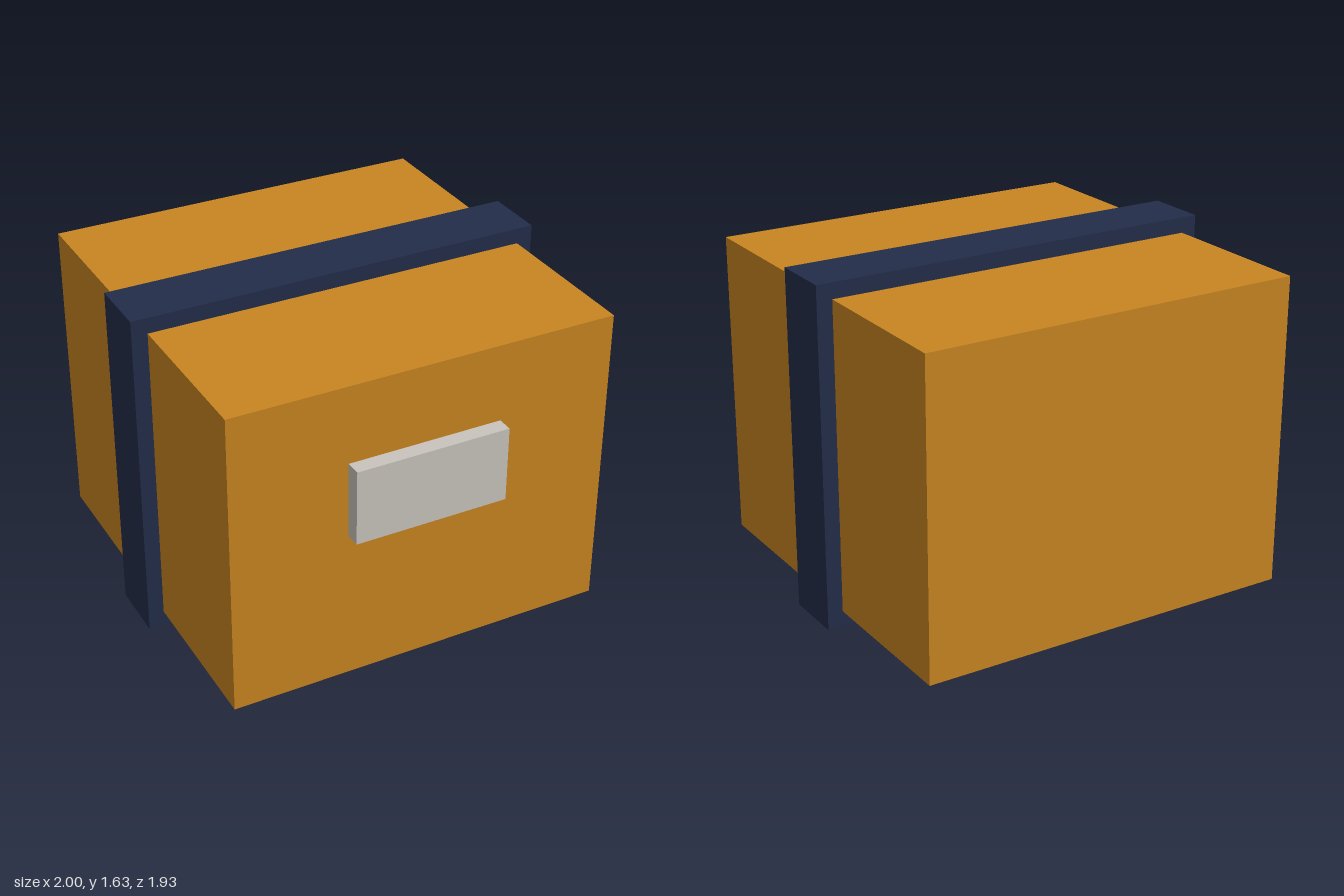
import * as THREE from 'three';

const material = (name, color) => {
  const m = new THREE.MeshStandardMaterial({ color });
  m.name = name;
  return m;
};

// Box given by its lower and upper corners
function box(name, min, max, mat) {
  const size = max.map((v, i) => v - min[i]);
  const mesh = new THREE.Mesh(new THREE.BoxGeometry(...size), mat);
  mesh.position.set(...max.map((v, i) => (v + min[i]) / 2));
  mesh.name = name;
  return mesh;
}

export function createModel() {
  const cardboard = material('cardboard', 0xc98521);
  const navy = material('navy', 0x222d4a);
  const paper = material('paper', 0xc9c4bd);

  const parcel = new THREE.Group();
  parcel.name = 'parcel';
  parcel.add(
    box('carton', [-0.925, 0.075, -0.965], [0.925, 1.56, 0.89], cardboard),
    // Strap wrapped around the sides, top and bottom
    box('strap', [-1, 0, -0.185], [1, 1.635, 0.11], navy),
    // Raised label on the front
    box('label', [-0.37, 0.82, 0.89], [0.37, 1.185, 0.965], paper),
  );
  return parcel;
}
